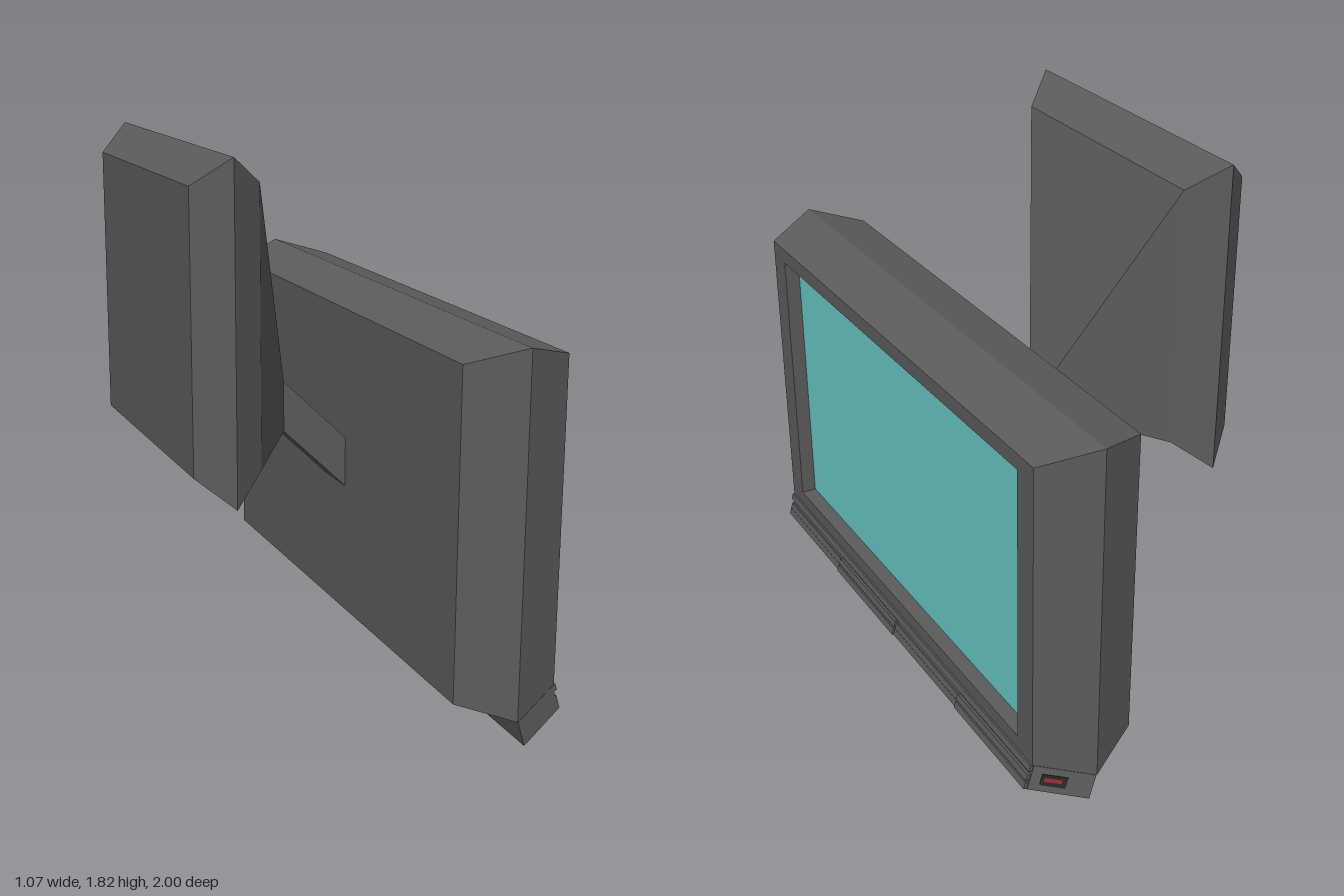
import * as THREE from 'three';

const mat = (color, side = THREE.FrontSide) =>
  new THREE.MeshStandardMaterial({ color, flatShading: true, side });
const casing = mat(0x5c5c5c), dark = mat(0x2a2a2a), teal = mat(0x66c8c4), red = mat(0xa02a30);

// Joins rectangles along x. Section: [x, yBottom, yTop, halfWidth, xAtTop = x]
function loft(name, sections, endCap = true) {
  const rings = sections.map(([x, y0, y1, w, xt = x]) =>
    [[x, y0, -w], [xt, y1, -w], [xt, y1, w], [x, y0, w]]);
  const pos = [];
  const quad = (a, b, c, d) => [a, b, c, a, c, d].forEach(p => pos.push(...p));
  for (let s = 0; s < rings.length - 1; s++) {
    const a = rings[s], b = rings[s + 1];
    for (let i = 0; i < 4; i++) {
      const j = (i + 1) % 4;
      quad(a[i], a[j], b[j], b[i]);
    }
  }
  quad(...[...rings[0]].reverse());
  if (endCap) quad(...rings[rings.length - 1]);
  const geo = new THREE.BufferGeometry();
  geo.setAttribute('position', new THREE.Float32BufferAttribute(pos, 3));
  geo.computeVertexNormals();
  const mesh = new THREE.Mesh(geo, casing);
  mesh.name = name;
  return mesh;
}

function box(name, w, h, d, x, y, z, material = casing) {
  const mesh = new THREE.Mesh(new THREE.BoxGeometry(w, h, d), material);
  mesh.position.set(x, y, z);
  mesh.name = name;
  return mesh;
}

export function createModel() {
  const model = new THREE.Group();
  model.name = 'wallScreen';

  // Bevelled wall plate tapering into the arm
  model.add(loft('wallMount', [
    [-0.54, 0.83, 1.735, 0.453],
    [-0.43, 0.74, 1.825, 0.543],
    [-0.315, 0.83, 1.735, 0.453],
    [-0.09, 0.83, 1.005, 0.088],
  ]));

  // Sloping arm
  model.add(loft('arm', [
    [-0.09, 0.83, 1.005, 0.088],
    [0.15, 0.595, 0.77, 0.088],
  ]));

  // Bevelled housing with a recessed opening
  model.add(loft('housing', [
    [0.14, 0.145, 1.235, 0.91],
    [0.32, 0.09, 1.288, 1],
    [0.503, 0.145, 1.235, 0.91],
    [0.503, 0.197, 1.182, 0.82],
    [0.45, 0.197, 1.182, 0.82],
  ], false));

  // Display
  const screen = new THREE.Mesh(new THREE.PlaneGeometry(1.64, 0.985), teal);
  screen.rotation.y = Math.PI / 2;
  screen.position.set(0.45, 0.6895, 0);
  screen.name = 'screen';
  model.add(screen);

  // Tilted control strip under the housing
  model.add(loft('controlStrip', [
    [0.347, 0.004, 0.09, 1, 0.322],
    [0.523, 0.057, 0.142, 0.912, 0.498],
  ]));

  // Ribs and alternating panels on the strip's front
  const front = new THREE.Group();
  front.name = 'stripFront';
  front.position.set(0.523, 0.057, 0);
  front.rotation.z = 0.286;
  front.add(box('upperRib', 0.012, 0.022, 1.82, 0.006, 0.077, 0));
  for (let i = 0; i < 4; i++) {
    const raised = i % 2 === 0;
    const z = -0.6825 + i * 0.455;
    const depth = raised ? 0.012 : 0.006;
    front.add(box('lowerPanel', depth, 0.024, 0.453, depth / 2, 0.012, z));
    front.add(box('middlePanel', depth, 0.022, 0.453, depth / 2, raised ? 0.042 : 0.036, z));
  }
  model.add(front);

  // Indicator port on the slanted end
  const port = new THREE.Group();
  port.name = 'indicatorPort';
  port.position.set(0.445, 0.08, -0.945);
  port.rotation.set(0, -0.45, 0.286, 'ZYX');
  port.add(box('portSurround', 0.085, 0.04, 0.006, 0, 0, 0, dark));
  port.add(box('indicatorLight', 0.06, 0.016, 0.006, 0.004, 0.004, -0.002, red));
  model.add(port);

  return model;
}
